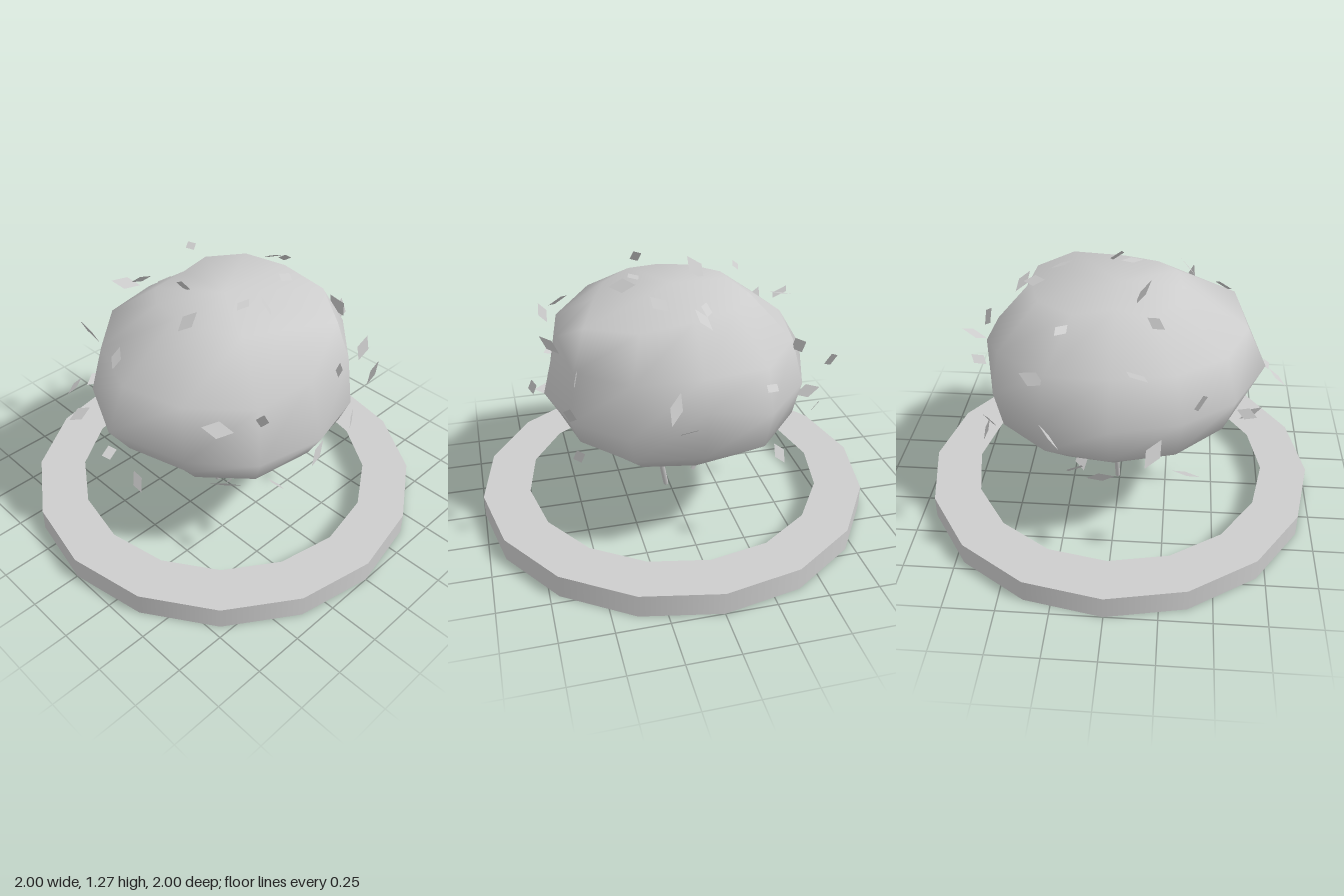
import * as THREE from 'three';

const grey = new THREE.MeshStandardMaterial({ color: 0xcccccc, side: THREE.DoubleSide });
grey.name = 'plain grey';

function add(group, name, geometry) {
  const mesh = new THREE.Mesh(geometry, grey);
  mesh.name = name;
  group.add(mesh);
  return mesh;
}

// Cylinder between two points
function rod(a, b, radius) {
  const dir = b.clone().sub(a);
  const g = new THREE.CylinderGeometry(radius, radius, dir.length(), 6);
  g.applyQuaternion(new THREE.Quaternion().setFromUnitVectors(
    new THREE.Vector3(0, 1, 0), dir.clone().normalize()));
  const mid = a.clone().add(b).multiplyScalar(0.5);
  return g.translate(mid.x, mid.y, mid.z);
}

// Lumpy crown: rows from bottom to top, each with a radius and height every 30 degrees
const crownRows = [
  { r: [.48, .5, .48, .42, .46, .5, .46, .44, .42, .4, .44, .48],
    y: [.46, .46, .47, .5, .48, .46, .47, .46, .44, .42, .43, .45] },
  { r: [.64, .62, .6, .58, .61, .58, .62, .6, .6, .62, .62, .63],
    y: [.6, .56, .56, .56, .55, .56, .6, .58, .58, .6, .58, .56] },
  { r: [.67, .66, .65, .65, .67, .65, .73, .66, .65, .68, .66, .67],
    y: [.85, .7, .68, .68, .68, .68, .76, .75, .78, .8, .75, .75] },
  { r: [.6, .62, .62, .57, .62, .66, .63, .6, .58, .56, .6, .63],
    y: [.98, .95, .93, .98, .96, 1, .97, .98, 1, 1, .98, .97] },
  { r: [.43, .5, .55, .38, .35, .32, .3, .32, .34, .28, .38, .42],
    y: [1.18, 1.15, 1.13, 1.16, 1.17, 1.19, 1.19, 1.18, 1.17, 1.2, 1.19, 1.19] },
];

function crownGeometry() {
  const n = 12, pos = [], index = [];
  for (const row of crownRows)
    for (let i = 0; i < n; i++) {
      const t = i / n * Math.PI * 2;
      pos.push(Math.cos(t) * row.r[i], row.y[i], Math.sin(t) * row.r[i]);
    }
  const rows = crownRows.length, bottom = rows * n, top = bottom + 1;
  pos.push(0, .47, 0, 0, 1.2, 0);
  for (let i = 0; i < n; i++) {
    const j = (i + 1) % n;
    for (let k = 0; k < rows - 1; k++) {
      const a = k * n + i, b = k * n + j, c = a + n, d = b + n;
      index.push(a, c, b, b, c, d);
    }
    index.push(bottom, i, j);
    index.push(top, (rows - 1) * n + j, (rows - 1) * n + i);
  }
  const g = new THREE.BufferGeometry();
  g.setAttribute('position', new THREE.Float32BufferAttribute(pos, 3));
  g.setIndex(index);
  g.computeVertexNormals();
  return g;
}

// Leaf centres around the crown
const leafSpots = [
  // front
  [-.35, .96, .6], [-.52, .95, .5], [-.52, .67, .55], [-.08, .68, .7], [.13, 1, .62],
  [.41, .95, .54], [.46, .8, .58], [-.27, .56, .62], [.38, .53, .54],
  // right side
  [-.67, .54, -.1], [-.76, .63, .23], [-.58, 1.05, -.1], [-.77, .8, -.16], [-.62, .75, -.41],
  // top
  [-.33, 1.23, .11], [-.05, 1.23, .18], [.03, 1.22, .25], [.29, 1.22, .13], [.4, 1.22, -.06],
  [.46, 1.2, -.03], [-.12, 1.22, -.15], [-.19, 1.19, -.38], [.22, 1.19, -.47],
  // left side
  [.69, .9, .15], [.76, .82, .11], [.64, .92, -.3], [.62, .56, -.36], [.55, .75, -.55],
  // back
  [-.2, .7, -.68], [.25, .82, -.75], [-.12, 1.05, -.6], [.35, .97, -.53],
  [-.35, .55, -.62], [.15, .6, -.68], [-.4, .9, -.56],
  // underside
  [-.28, .41, .34], [.15, .45, -.41], [.05, .44, -.54], [.3, .43, -.3],
];

export function createModel() {
  const model = new THREE.Group();
  model.name = 'bush';

  // Planter ring: open outer wall with a flat rim on top
  const ring = new THREE.Group();
  ring.name = 'planterRing';
  const h = 0.115;
  add(ring, 'ringWall', new THREE.CylinderGeometry(1, 1, h, 16, 1, true).translate(0, h / 2, 0));
  add(ring, 'ringRim', new THREE.RingGeometry(0.76, 1, 16).rotateX(-Math.PI / 2).translate(0, h, 0));
  model.add(ring);

  // Three splayed stems
  for (let i = 0; i < 3; i++) {
    const t = -Math.PI / 2 + i * Math.PI * 2 / 3;
    const at = (r, y) => new THREE.Vector3(Math.cos(t) * r, y, Math.sin(t) * r);
    add(model, 'stem', rod(at(0.115, h), at(0.28, 0.48), 0.013));
  }

  add(model, 'crown', crownGeometry());

  // Loose diamond leaves, tilted at random
  let seed = 7;
  const rand = () => (seed = (seed * 16807) % 2147483647) / 2147483647;
  const diamond = new THREE.Shape([
    new THREE.Vector2(0, -.065), new THREE.Vector2(.035, 0),
    new THREE.Vector2(0, .065), new THREE.Vector2(-.035, 0),
  ]);
  const leafGeometry = new THREE.ShapeGeometry(diamond);
  const leaves = new THREE.Group();
  leaves.name = 'leaves';
  for (const [x, y, z] of leafSpots) {
    const leaf = add(leaves, 'leaf', leafGeometry);
    leaf.position.set(x, y, z);
    // face outward, then tilt
    leaf.lookAt(x * 2, 0.8 + (y - 0.8) * 3, z * 2);
    leaf.rotateZ(rand() * Math.PI * 2);
    leaf.rotateX((rand() - 0.5) * 2);
    leaf.rotateY((rand() - 0.5) * 2);
    leaf.scale.setScalar(0.75 + rand() * 0.45);
  }
  model.add(leaves);
  return model;
}
